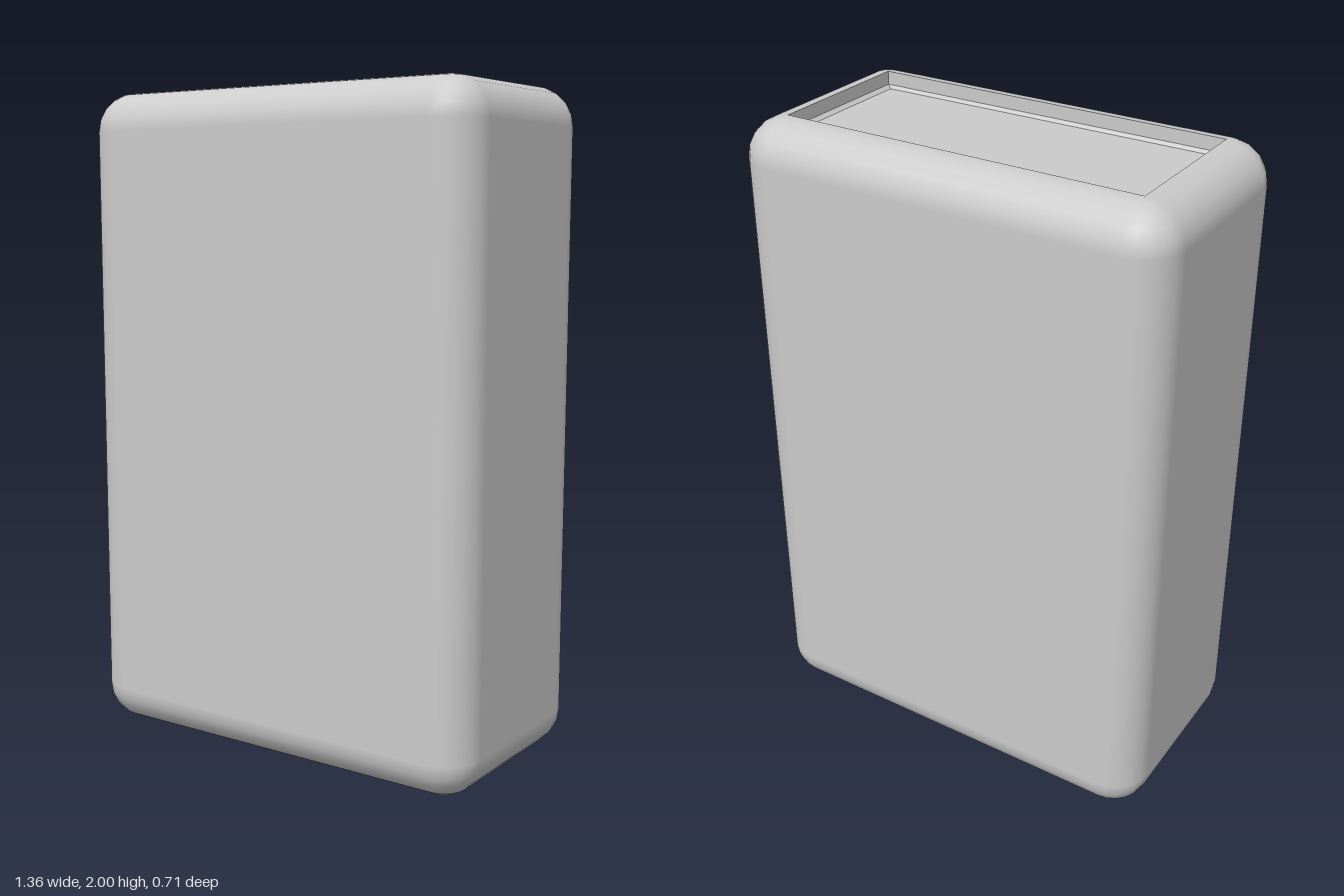
import * as THREE from 'three';

const CORE_X = 0.56, CORE_Z = 0.237; // flat area inside the rounded edges
const RADIUS = 0.12, HEIGHT = 2, STEPS = 5;

// Joins consecutive closed rings of points into a surface.
function loft(rings) {
  const n = rings[0].length;
  const index = [];
  for (let i = 0; i < rings.length - 1; i++) {
    for (let j = 0; j < n; j++) {
      const k = (j + 1) % n;
      const a = i * n + j, b = i * n + k, c = a + n, d = b + n;
      index.push(a, c, b, b, c, d);
    }
  }
  const geometry = new THREE.BufferGeometry().setFromPoints(rings.flat());
  geometry.setIndex(index);
  return geometry;
}

const CORNERS = [[1, 1], [-1, 1], [-1, -1], [1, -1]];

// Rounded shell: quarter-round edges top and bottom, open at the top.
function shellGeometry() {
  const rings = [], normals = [];
  const addRing = (phi, y, scale) => {
    const ring = [];
    CORNERS.forEach(([sx, sz], q) => {
      for (let s = 0; s <= STEPS; s++) {
        const t = (q + s / STEPS) * Math.PI / 2;
        const nx = Math.cos(t) * Math.sin(phi), nz = Math.sin(t) * Math.sin(phi);
        ring.push(new THREE.Vector3(
          (sx * CORE_X + nx * RADIUS) * scale,
          y - Math.cos(phi) * RADIUS,
          (sz * CORE_Z + nz * RADIUS) * scale));
        normals.push(nx, -Math.cos(phi), nz);
      }
    });
    rings.push(ring);
  };
  addRing(0, RADIUS, 0); // centre of the underside
  for (let i = 0; i <= STEPS; i++) addRing(i / STEPS * Math.PI / 2, RADIUS, 1);
  for (let i = 0; i <= STEPS; i++) addRing((1 + i / STEPS) * Math.PI / 2, HEIGHT - RADIUS, 1);
  const geometry = loft(rings);
  geometry.setAttribute('normal', new THREE.Float32BufferAttribute(normals, 3));
  return geometry;
}

// Shallow tray sunk into the top: wall, small bevel, flat floor.
function recessGeometry() {
  const ring = (x, z, y) => CORNERS.map(([sx, sz]) => new THREE.Vector3(sx * x, y, sz * z));
  const geometry = loft([
    ring(CORE_X, CORE_Z, HEIGHT),
    ring(CORE_X, CORE_Z, HEIGHT - 0.04),
    ring(CORE_X - 0.012, CORE_Z - 0.008, HEIGHT - 0.05),
    ring(0, 0, HEIGHT - 0.05),
  ]).toNonIndexed();
  geometry.computeVertexNormals();
  return geometry;
}

export function createModel() {
  const group = new THREE.Group();
  group.name = 'roundedBlock';
  const material = new THREE.MeshStandardMaterial({ color: 0xcccccc });

  const shell = new THREE.Mesh(shellGeometry(), material);
  shell.name = 'shell';
  const recess = new THREE.Mesh(recessGeometry(), material);
  recess.name = 'topRecess';

  group.add(shell, recess);
  return group;
}
